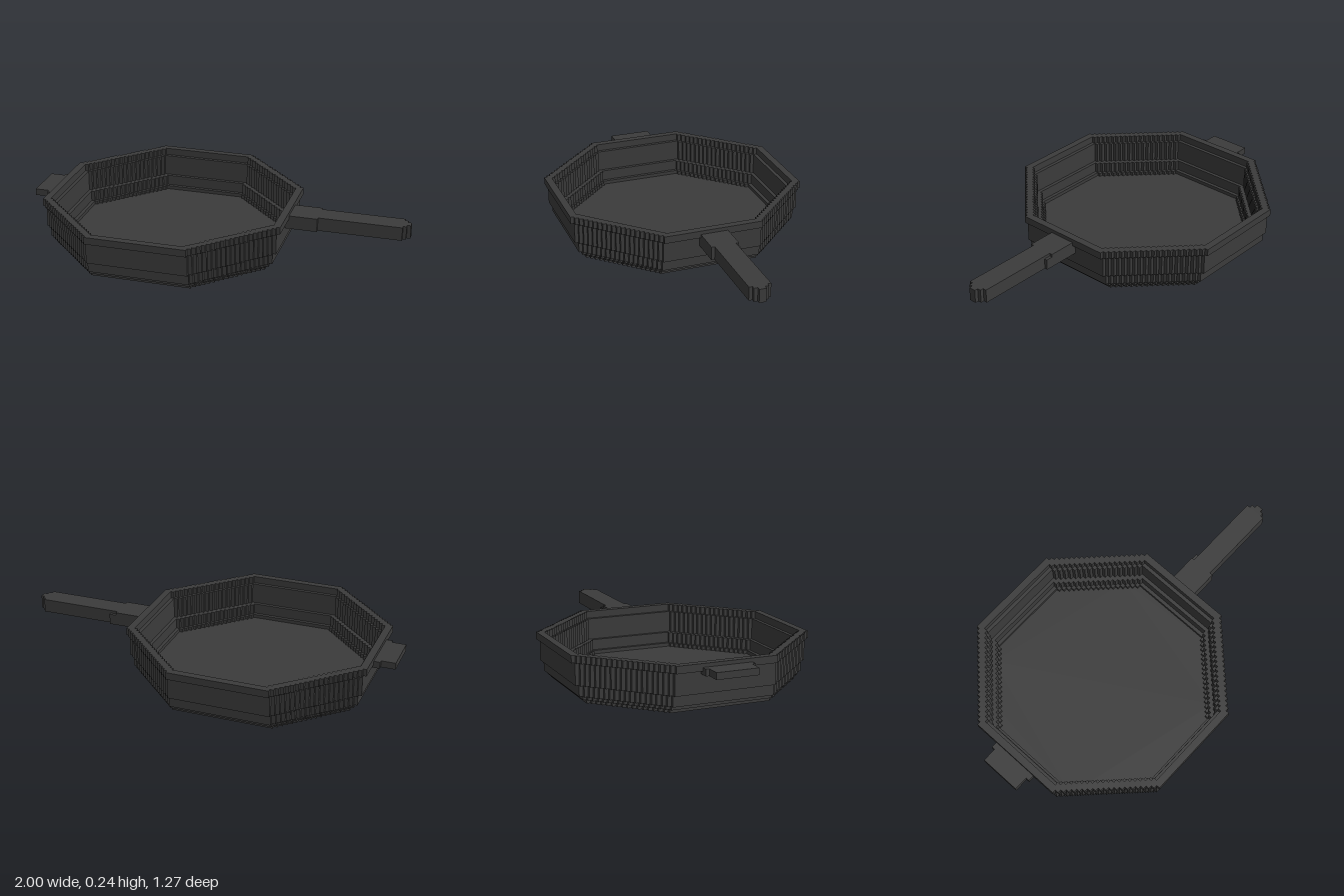
import * as THREE from 'three';

const V = 0.01875;      // block size
const CX = -0.255;      // centre of the bowl along x

// Octagon with staircase diagonals, in block units: h = half width, f = half of each flat side
function steppedOctagon(h, f) {
  const corner = [[h, f]];
  for (let i = 0; i < h - f; i++) {
    corner.push([h - i - 1, f + i], [h - i - 1, f + i + 1]);
  }
  const points = [];
  for (let q = 0; q < 4; q++) {
    for (const p of corner) {
      let [x, y] = p;
      for (let k = 0; k < q; k++) [x, y] = [-y, x];
      points.push(new THREE.Vector2(x * V, y * V));
    }
  }
  return points;
}

export function createModel() {
  const group = new THREE.Group();
  const iron = new THREE.MeshStandardMaterial({ color: 0x3b3b3b });
  iron.name = 'castIron';

  // Horizontal layer of the bowl, from block row y0 to y1
  function layer(name, y0, y1, outer, inner) {
    const shape = new THREE.Shape(steppedOctagon(...outer));
    if (inner) shape.holes.push(new THREE.Path(steppedOctagon(...inner)));
    const geometry = new THREE.ExtrudeGeometry(shape, { depth: (y1 - y0) * V, bevelEnabled: false });
    geometry.rotateX(-Math.PI / 2);
    const mesh = new THREE.Mesh(geometry, iron);
    mesh.position.set(CX, y0 * V, 0);
    mesh.name = name;
    group.add(mesh);
  }

  function box(name, x0, x1, y0, y1, z0, z1) {
    const mesh = new THREE.Mesh(new THREE.BoxGeometry(x1 - x0, y1 - y0, z1 - z0), iron);
    mesh.position.set((x0 + x1) / 2, (y0 + y1) / 2, (z0 + z1) / 2);
    mesh.name = name;
    group.add(mesh);
  }

  // Bowl
  layer('floor', 0, 1, [30, 14]);
  layer('baseStep', 1, 2, [31, 14], [29, 12]);
  layer('lowerWall', 2, 5, [32, 14], [30, 12]);
  layer('upperWall', 5, 11, [33, 14], [31, 13]);
  layer('rim', 11, 13, [34, 14], [32, 13]);

  // Long handle with a wider root and a stepped tip
  const low = 8.2 * V, high = 12 * V;
  box('handleRoot', 0.35, 0.53, low, high, -0.073, 0.072);
  box('handleRootStep', 0.53, 0.567, low, 0.21, -0.073, -0.05);
  box('handleGrip', 0.53, 0.963, low, high, -0.057, 0.055);
  box('handleTip', 0.963, 0.981, low, high, -0.038, 0.037);
  box('handleEnd', 0.981, 1.0, low, high, -0.019, 0.018);

  // Short helper tab on the opposite side
  box('tabRoot', -0.925, -0.865, 0.19, 0.225, -0.13, 0.127);
  box('tabEnd', -1.0, -0.925, 0.19, 0.225, -0.112, 0.108);

  return group;
}
